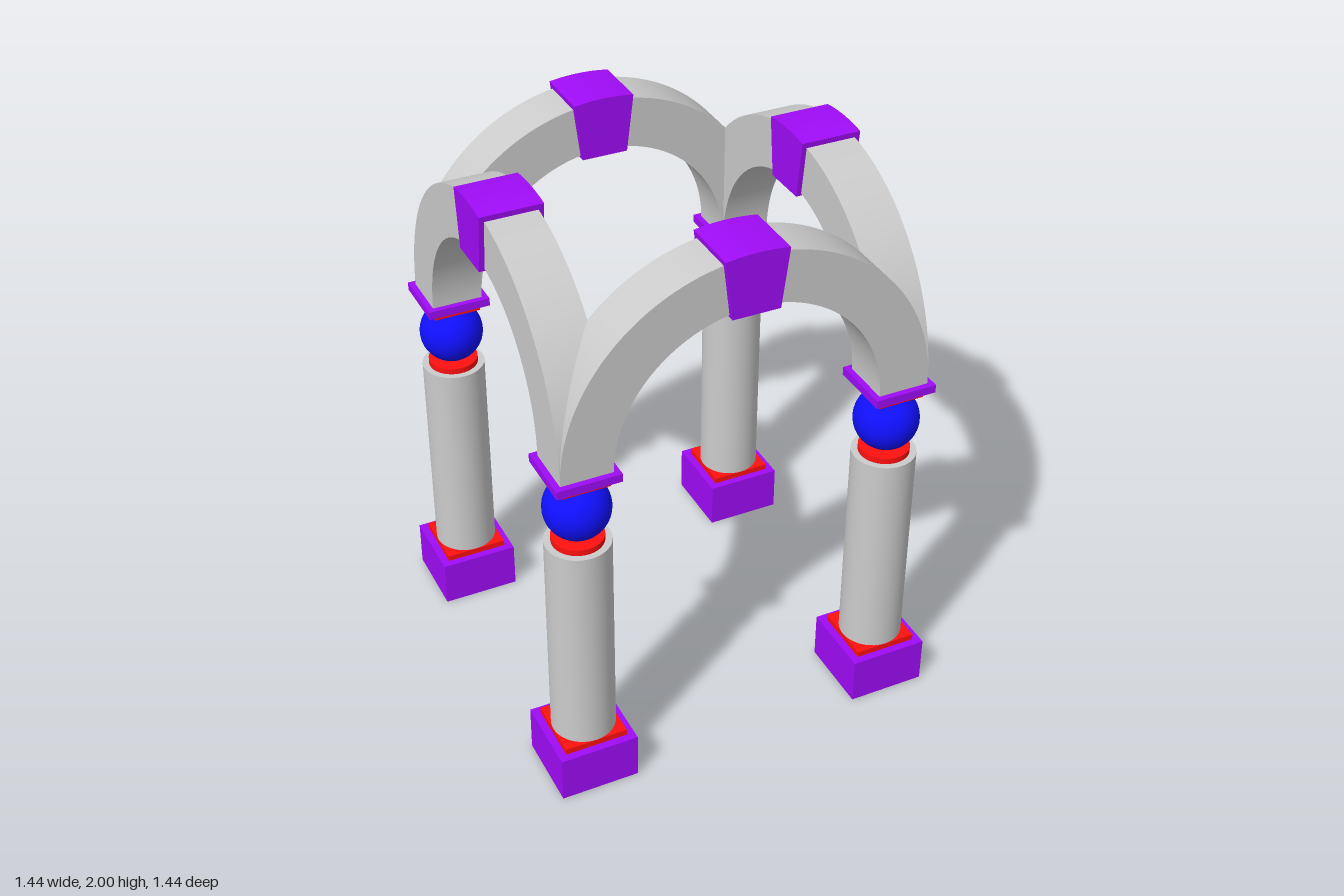
import * as THREE from 'three';
import { toCreasedNormals } from 'three/addons/utils/BufferGeometryUtils.js';

const grey = new THREE.MeshStandardMaterial({ color: 0xcccccc });
const purple = new THREE.MeshStandardMaterial({ color: 0xa00cf8 });
const red = new THREE.MeshStandardMaterial({ color: 0xff1010 });
const blue = new THREE.MeshStandardMaterial({ color: 0x1010ff });

const C = 0.577;        // distance of column and arch axes from the centre
const SPRING = 1.31;    // height where the arches start
const HALF = 0.0925;    // half thickness of the arches

function add(parent, name, geometry, material, y = 0) {
  const mesh = new THREE.Mesh(geometry, material);
  mesh.name = name;
  mesh.position.y = y;
  parent.add(mesh);
  return mesh;
}

// Square slab and round drum, both given by bottom and top height
function slab(parent, name, half, y0, y1, material) {
  add(parent, name, new THREE.BoxGeometry(half * 2, y1 - y0, half * 2), material, (y0 + y1) / 2);
}
function drum(parent, name, r, y0, y1, material) {
  add(parent, name, new THREE.CylinderGeometry(r, r, y1 - y0, 48), material, (y0 + y1) / 2);
}

// Extrude a shape centred on z = 0, smooth along its curves
function extrude(shape, depth) {
  const g = new THREE.ExtrudeGeometry(shape, { depth, bevelEnabled: false, curveSegments: 48 });
  g.translate(0, 0, -depth / 2);
  return toCreasedNormals(g, 0.5);
}

function createColumn() {
  const column = new THREE.Group();
  column.name = 'column';
  slab(column, 'plinth', 0.143, 0, 0.175, purple);
  slab(column, 'baseSlab', 0.115, 0.175, 0.197, red);
  drum(column, 'shaft', 0.114, 0.197, 1.005, grey);
  drum(column, 'neckRing', 0.09, 1.005, 1.027, red);
  add(column, 'ball', new THREE.SphereGeometry(0.115, 48, 32), blue, 1.141);
  slab(column, 'capitalSlab', 0.085, 1.252, 1.28, red);
  slab(column, 'abacus', 0.114, 1.28, SPRING, purple);
  return column;
}

function createArch() {
  const arch = new THREE.Group();
  arch.name = 'arch';

  // Half ring; neighbouring arches run into each other at the corners
  const ring = new THREE.Shape();
  ring.absarc(0, 0, C + HALF, 0, Math.PI, false);
  ring.absarc(0, 0, C - HALF, Math.PI, 0, true);
  add(arch, 'archRing', extrude(ring, HALF * 2), grey, SPRING);

  // Wedge with a curved top and a flat underside
  const r = 0.69, a = Math.asin(0.112 / r);
  const wedge = new THREE.Shape();
  wedge.moveTo(-0.085, 0.468);
  wedge.lineTo(0.085, 0.468);
  wedge.absarc(0, 0, r, Math.PI / 2 - a, Math.PI / 2 + a, false);
  wedge.closePath();
  add(arch, 'keystone', extrude(wedge, 0.222), purple, SPRING);
  return arch;
}

export function createModel() {
  const model = new THREE.Group();
  model.name = 'archedPavilion';

  // Four corner columns
  for (const x of [-C, C]) {
    for (const z of [-C, C]) {
      const column = createColumn();
      column.position.set(x, 0, z);
      model.add(column);
    }
  }

  // Four arches, one per side
  for (let i = 0; i < 4; i++) {
    const angle = i * Math.PI / 2;
    const arch = createArch();
    arch.position.set(Math.sin(angle) * C, 0, Math.cos(angle) * C);
    arch.rotation.y = angle;
    model.add(arch);
  }
  return model;
}
